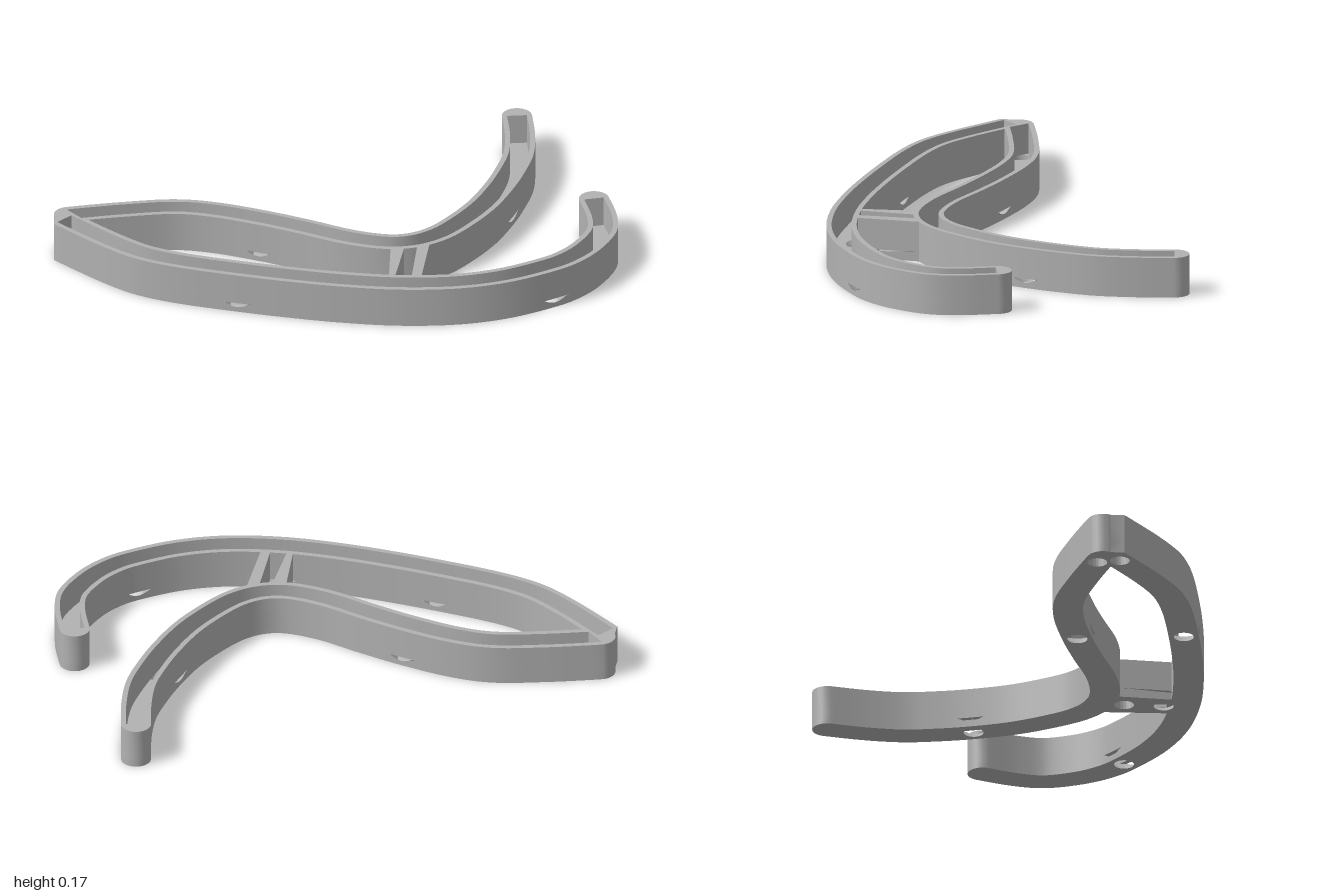
import * as THREE from 'three';
import { toCreasedNormals } from 'three/addons/utils/BufferGeometryUtils.js';

const H = 0.0625, W = 0.041;           // half widths: channel outside, trough inside
const FLOOR = 0.04, TOP = 0.17;        // heights
const R0 = 0.041, R1 = 0.081;          // drill hole and countersink radii
const V = (x, z) => new THREE.Vector2(x, z);
const add = (p, n, d) => p.clone().addScaledVector(n, d);

// Sample a plan-view centreline (x, z) with tangents t and side normals n
function sample(pairs, count) {
  const curve = new THREE.SplineCurve(pairs.map(([x, z]) => V(x, z)));
  return Array.from({ length: count + 1 }, (_, i) => {
    const t = curve.getTangentAt(i / count);
    return { p: curve.getPointAt(i / count), t, n: V(t.y, -t.x) };
  });
}
const side = (line, d) => line.map(s => add(s.p, s.n, d));
const distTo = (line, p) => Math.min(...line.map(s => s.p.distanceTo(p)));

// Rounded end sweeping from direction n through direction t
function cap(p, n, t, end = Math.PI) {
  return Array.from({ length: 13 }, (_, i) => {
    const a = (i + 0.5) / 13 * end;
    return add(add(p, n, H * Math.cos(a)), t, H * Math.sin(a));
  });
}

// Plan shape with holes (shape y is -z)
function planShape(outer, holes) {
  const flip = pts => pts.map(p => V(p.x, -p.y));
  const shape = new THREE.Shape(flip(outer));
  holes.forEach(h => shape.holes.push(new THREE.Path(flip(h))));
  return shape;
}

// Strip between two closed 3D loops
function band(lower, upper) {
  const pos = [];
  lower.forEach((a, i) => {
    const j = (i + 1) % lower.length;
    [a, lower[j], upper[j], a, upper[j], upper[i]].forEach(q => pos.push(...q));
  });
  const g = new THREE.BufferGeometry();
  g.setAttribute('position', new THREE.Float32BufferAttribute(pos, 3));
  g.computeVertexNormals();
  return toCreasedNormals(g, 0.6);
}

export function createModel() {
  const group = new THREE.Group();
  const grey = new THREE.MeshStandardMaterial({ color: 0xb2b2b2, side: THREE.DoubleSide });
  grey.name = 'grey';
  const put = (name, geometry) => {
    const m = new THREE.Mesh(geometry, grey);
    m.name = name;
    group.add(m);
    return m;
  };

  // Centrelines: inner arm runs tip to apex, outer arm runs apex to tip
  const A = sample([[0.045, -0.93], [0.15, -0.81], [0.24, -0.68], [0.3, -0.54], [0.345, -0.4],
    [0.38, -0.24], [0.39, -0.08], [0.38, 0.06], [0.335, 0.17], [0.25, 0.25], [0.1, 0.31],
    [-0.1, 0.35], [-0.28, 0.392], [-0.48, 0.455], [-0.63, 0.535], [-0.78, 0.675],
    [-0.905, 0.808], [-0.937, 0.845]], 180);
  const B = sample([[-0.93, 0.885], [-0.87, 0.894], [-0.7, 0.915], [-0.55, 0.923], [-0.44, 0.91],
    [-0.3, 0.87], [-0.1, 0.793], [0.1, 0.708], [0.3, 0.612], [0.5, 0.495], [0.68, 0.35],
    [0.81, 0.19], [0.9, 0.01], [0.932, -0.1], [0.936, -0.22], [0.905, -0.36], [0.83, -0.46],
    [0.72, -0.555]], 200);

  // Bridge axis: lateral coordinate across the short link
  const link1 = V(0.385, 0.27), link2 = V(0.47, 0.41);
  const along = link2.clone().sub(link1).normalize();
  const across = V(along.y, -along.x);
  const lat = p => p.clone().sub(link1).dot(across);

  // Outlines
  const aIn = side(A, H), bIn = side(B, H), aEnd = A[A.length - 1], bEnd = B[B.length - 1];
  const neg = v => v.clone().negate();
  const outer = [
    ...side(A, -H), ...cap(aEnd.p, neg(aEnd.n), aEnd.t, Math.PI * 0.58),
    ...side(B, -H), ...cap(bEnd.p, neg(bEnd.n), bEnd.t),
    ...bIn.filter(p => lat(p) > H).reverse(),
    ...aIn.filter(p => lat(p) > H).reverse(),
    ...cap(A[0].p, A[0].n, neg(A[0].t)),
  ];
  const leaf = [
    ...aIn.filter(p => lat(p) < -H && distTo(B, p) > H),
    ...bIn.filter(p => lat(p) < -H && distTo(A, p) > H),
  ];

  // Troughs
  const clear = p => distTo(B, p) > 0.052;
  const troughs = [
    [...side(A, W).filter(clear), ...side(A, -W).filter(clear).reverse()],
    [...side(B, W), ...side(B, -W).reverse()],
    [...aIn.filter(p => Math.abs(lat(p)) < W), ...bIn.filter(p => Math.abs(lat(p)) < W)],
  ];

  // Drill holes, some countersunk
  const nearest = (line, p) =>
    line.reduce((m, s) => (s.p.distanceTo(p) < m.p.distanceTo(p) ? s : m));
  const onArm = (line, x, z) => {
    const s = nearest(line, V(x, z));
    return { p: s.p, n: s.n, sunk: true };
  };
  const drills = [
    onArm(A, 0.345, -0.4), onArm(A, -0.28, 0.392), onArm(B, 0.9, 0.01), onArm(B, -0.1, 0.793),
    { p: link2, n: across, sunk: true }, { p: link1, n: across },
    { p: V(-0.905, 0.803), n: across }, { p: V(-0.877, 0.893), n: across },
  ];
  // Rim of a hole, clipped to the channel width
  const rim = (d, r, clip) => Array.from({ length: 64 }, (_, i) => {
    const a = i / 64 * Math.PI * 2, dir = V(Math.cos(a), Math.sin(a));
    return add(d.p, dir, Math.min(r, clip / Math.max(1e-6, Math.abs(dir.dot(d.n)))));
  });

  // Walls
  const walls = new THREE.ExtrudeGeometry(planShape(outer, [leaf, ...troughs]),
    { depth: TOP - FLOOR, bevelEnabled: false });
  walls.rotateX(-Math.PI / 2).translate(0, FLOOR, 0);
  put('channelWalls', toCreasedNormals(walls, 0.6));

  // Floor: underside and upper face
  const flat = holes => new THREE.ShapeGeometry(planShape(outer, [leaf, ...holes]));
  put('floorUnderside', flat(drills.map(d => rim(d, R0, 1))).rotateX(-Math.PI / 2));
  put('floorTop', flat(drills.map(d => rim(d, d.sunk ? R1 : R0, d.sunk ? H - 0.005 : 1)))
    .rotateX(-Math.PI / 2).translate(0, FLOOR, 0));

  // Floor edges, notched where a countersink breaks through the side
  const sinkHeight = p => Math.min(FLOOR, ...drills.filter(d => d.sunk)
    .map(d => Math.max(0, d.p.distanceTo(p) - R0)));
  [outer, leaf].forEach((loop, i) => {
    const edge = band(loop.map(p => [p.x, 0, p.y]), loop.map(p => [p.x, sinkHeight(p), p.y]));
    put(i ? 'innerFloorEdge' : 'outerFloorEdge', edge);
  });

  // Hole linings
  drills.forEach(d => {
    const low = rim(d, R0, 1), high = d.sunk ? rim(d, R1, H) : low;
    put(d.sunk ? 'countersink' : 'drillHole', band(
      high.map(p => [p.x, d.sunk ? p.distanceTo(d.p) - R0 : FLOOR, p.y]),
      low.map(p => [p.x, 0, p.y])));
  });
  return group;
}
